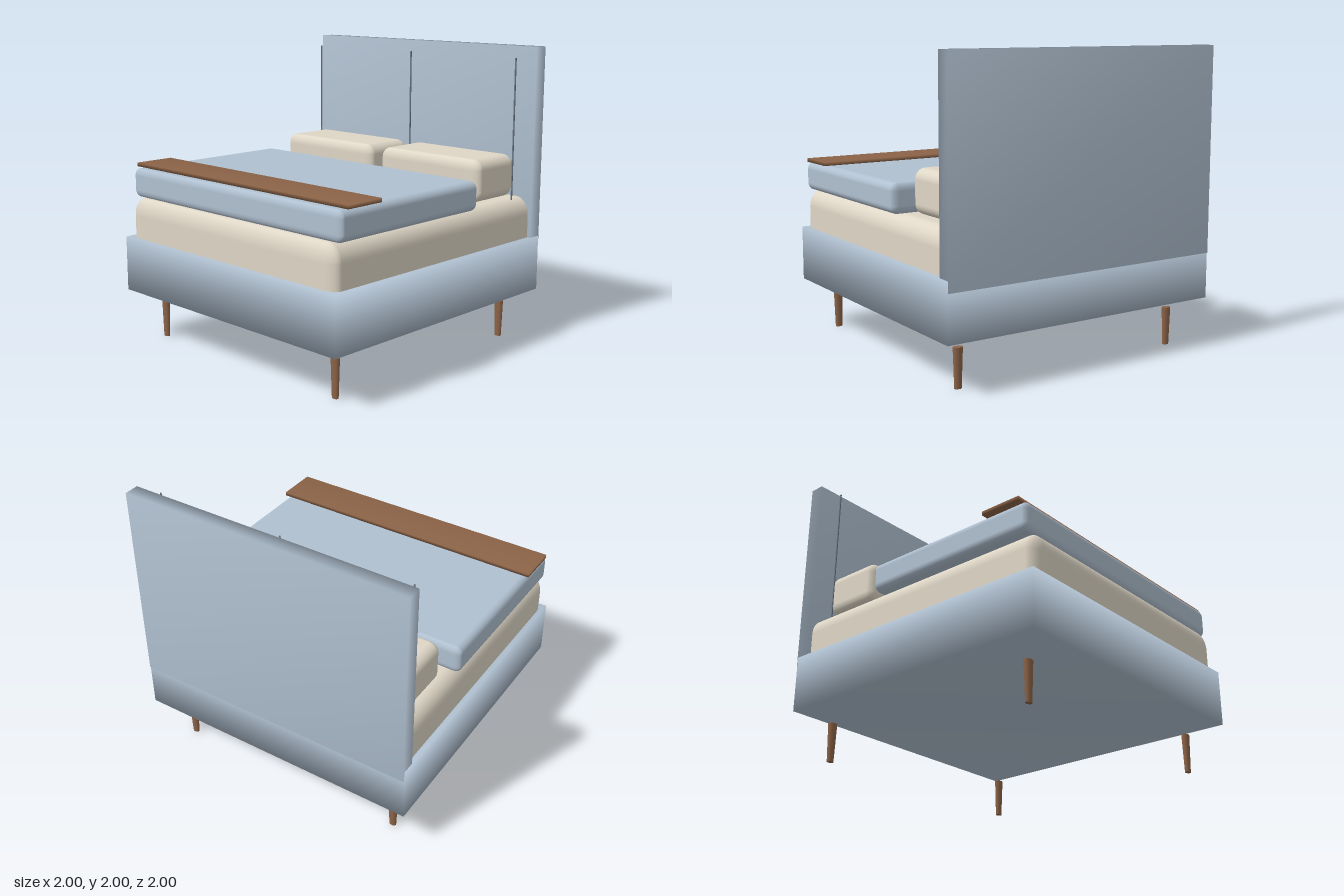
import * as THREE from 'three';
import { mergeVertices } from 'three/addons/utils/BufferGeometryUtils.js';
import { RoundedBoxGeometry } from 'three/addons/geometries/RoundedBoxGeometry.js';

const paint = (color) => new THREE.MeshStandardMaterial({ color });

// Box between two corners whose faces share smooth normals
function softShadedBox(min, max) {
  const size = max.map((v, i) => v - min[i]);
  let geo = new THREE.BoxGeometry(...size);
  geo.deleteAttribute('normal');
  geo.deleteAttribute('uv');
  geo = mergeVertices(geo);
  geo.computeVertexNormals();
  return geo.translate(...min.map((v, i) => v + size[i] / 2));
}

// Padded box between two corners, with its own rounding along each axis
function cushion(min, max, radii) {
  const size = max.map((v, i) => v - min[i]);
  const geo = new RoundedBoxGeometry(...size.map((s, i) => s / radii[i]), 5, 1);
  geo.scale(...radii);
  return geo.translate(...min.map((v, i) => v + size[i] / 2));
}

export function createModel() {
  const bed = new THREE.Group();
  bed.name = 'bed';
  const fabric = paint(0xb0c0d0);
  const linen = paint(0xded6c6);
  const wood = paint(0x8b6347);
  const seamGrey = paint(0x6f7a86);

  const add = (name, geometry, material) => {
    const mesh = new THREE.Mesh(geometry, material);
    mesh.name = name;
    bed.add(mesh);
    return mesh;
  };

  // Upholstered frame and headboard
  add('base', softShadedBox([-1, 0.335, -0.99], [1, 0.71, 1]), fabric);
  add('headboard', softShadedBox([-0.995, 0.64, -1], [0.995, 2, -0.9]), fabric);

  // Upright strips standing in front of the headboard
  for (const x of [-0.905, 0, 0.905]) {
    add('headboardStrip', new THREE.BoxGeometry(0.008, 1.22, 0.008), seamGrey)
      .position.set(x, 1.32, -0.795);
  }

  // Bedding
  add('mattress', cushion([-0.97, 0.58, -0.975], [0.97, 0.985, 0.975], [0.1, 0.12, 0.06]), linen);
  add('duvet', cushion([-0.985, 0.985, -0.32], [0.985, 1.18, 0.935], [0.05, 0.05, 0.03]), fabric);
  add('throw', softShadedBox([-0.995, 1.185, 0.61], [0.995, 1.21, 0.89]), wood);
  for (const [name, x] of [['rightPillow', -0.905], ['leftPillow', 0.04]]) {
    add(name, cushion([x, 1, -0.825], [x + 0.862, 1.285, -0.425], [0.07, 0.07, 0.045]), linen);
  }

  // Tapered legs, slightly oval in plan
  const legGeo = new THREE.CylinderGeometry(0.033, 0.024, 0.255, 16).scale(1, 1, 0.7);
  for (const x of [-0.82, 0.82]) {
    for (const z of [-0.805, 0.815]) {
      add('leg', legGeo, wood).position.set(x, 0.1275, z);
    }
  }
  return bed;
}
